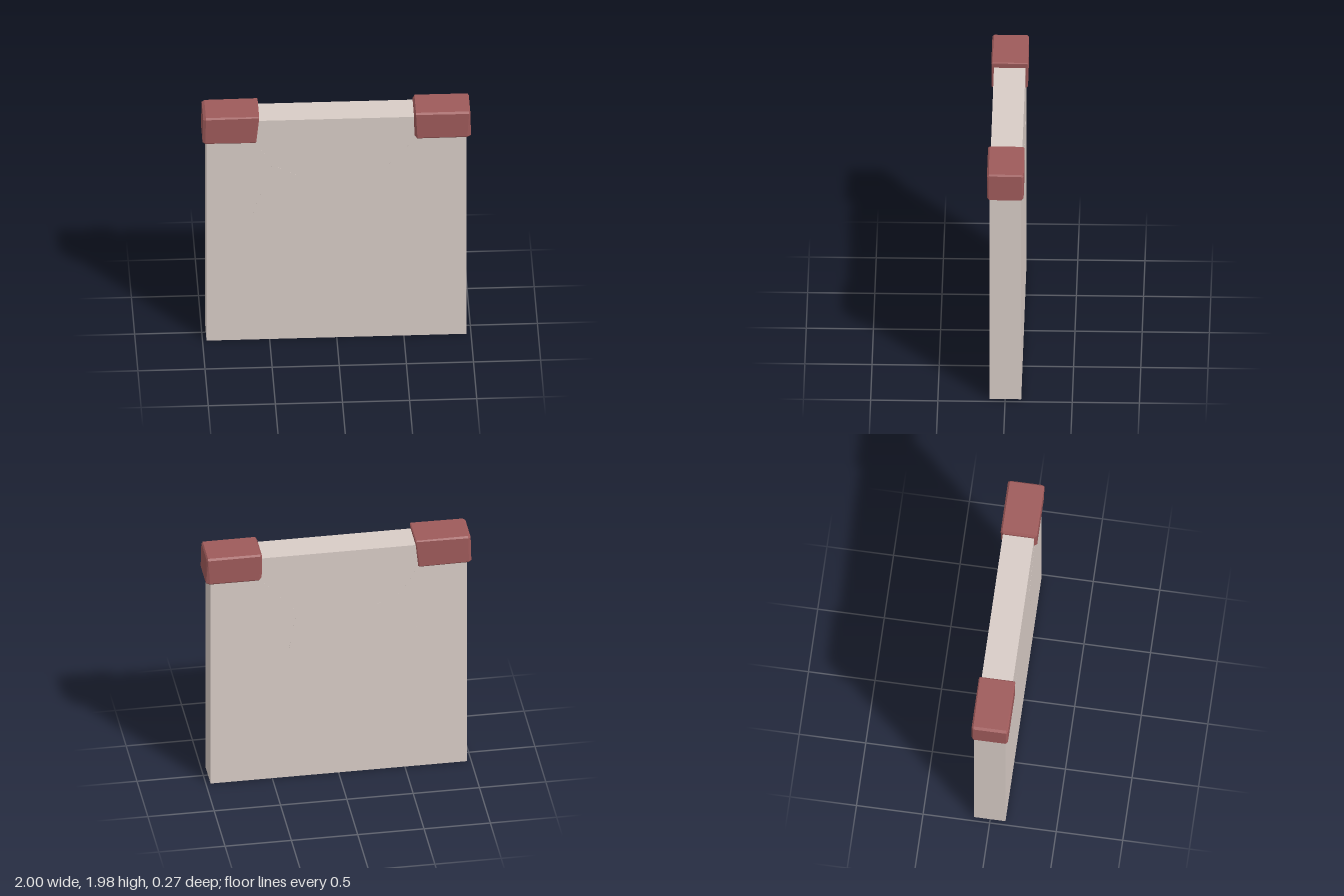
import * as THREE from 'three';
import { ConvexGeometry } from 'three/addons/geometries/ConvexGeometry.js';

const wallMaterial = new THREE.MeshStandardMaterial({ color: 0xd8ccc6, flatShading: true });
const brickMaterial = new THREE.MeshStandardMaterial({ color: 0x9e5a5a, flatShading: true });

function addMesh(group, name, geometry, material) {
  const mesh = new THREE.Mesh(geometry, material);
  mesh.name = name;
  group.add(mesh);
  return mesh;
}

// Chipped block: bevelled cross-sections along x.
// Each section is [x at bottom, x at top, inset from the full outline, corner cut].
function chippedBrick(sections, { y0, y1, z0, z1 }) {
  const points = [];
  for (const [xBottom, xTop, inset, cut] of sections) {
    for (const top of [0, 1]) {
      for (const front of [0, 1]) {
        const x = top ? xTop : xBottom;
        const y = top ? y1 - inset : y0 + inset;
        const z = front ? z1 - inset : z0 + inset;
        points.push(new THREE.Vector3(x, y + (top ? -cut : cut), z));
        points.push(new THREE.Vector3(x, y, z + (front ? -cut : cut)));
      }
    }
  }
  return new ConvexGeometry(points);
}

// Tapering hairline crack along a path, running through the wall
function crack(path, startWidth, endWidth) {
  const left = [], right = [];
  path.forEach(([x, y], i) => {
    const a = path[Math.max(i - 1, 0)], b = path[Math.min(i + 1, path.length - 1)];
    const normal = new THREE.Vector2(a[1] - b[1], b[0] - a[0]).normalize();
    const half = THREE.MathUtils.lerp(startWidth, endWidth, i / (path.length - 1)) / 2;
    left.push(new THREE.Vector2(x, y).addScaledVector(normal, half));
    right.unshift(new THREE.Vector2(x, y).addScaledVector(normal, -half));
  });
  const depth = 0.236;
  const geometry = new THREE.ExtrudeGeometry(new THREE.Shape([...left, ...right]), { depth, bevelEnabled: false });
  return geometry.translate(0, 0, -0.0025 - depth / 2);
}

export function createModel() {
  const model = new THREE.Group();
  model.name = 'wallPanel';

  // Plaster slab
  const slab = addMesh(model, 'wall', new THREE.BoxGeometry(1.935, 1.94, 0.235), wallMaterial);
  slab.position.set(-0.0025, 0.97, -0.0025);

  // Exposed bricks wrapping the upper corners
  addMesh(model, 'rightCornerBrick', chippedBrick([
    [-1.0, -0.995, 0.012, 0.006],
    [-0.98, -0.975, 0, 0.013],
    [-0.61, -0.585, 0, 0.008],
    [-0.60, -0.578, 0.005, 0.006],
  ], { y0: 1.753, y1: 1.983, z0: -0.138, z1: 0.135 }), brickMaterial);
  addMesh(model, 'leftCornerBrick', chippedBrick([
    [0.578, 0.576, 0.02, 0.006],
    [0.60, 0.59, 0, 0.012],
    [0.972, 0.985, 0, 0.014],
    [1.0, 0.995, 0.012, 0.008],
  ], { y0: 1.753, y1: 1.98, z0: -0.138, z1: 0.135 }), brickMaterial);

  // Hairline cracks spreading from the bricks
  const cracks = {
    rightCrack: [[[-0.61, 1.76], [-0.48, 1.54], [-0.53, 1.4], [-0.63, 1.1]], 0.007, 0.001],
    rightCrackBranch: [[[-0.48, 1.54], [-0.42, 1.51], [-0.29, 1.45]], 0.005, 0.001],
    leftCrack: [[[0.6, 1.76], [0.315, 1.44], [0.34, 1.31], [0.41, 0.91]], 0.007, 0.001],
  };
  for (const [name, args] of Object.entries(cracks)) addMesh(model, name, crack(...args), wallMaterial);

  return model;
}
